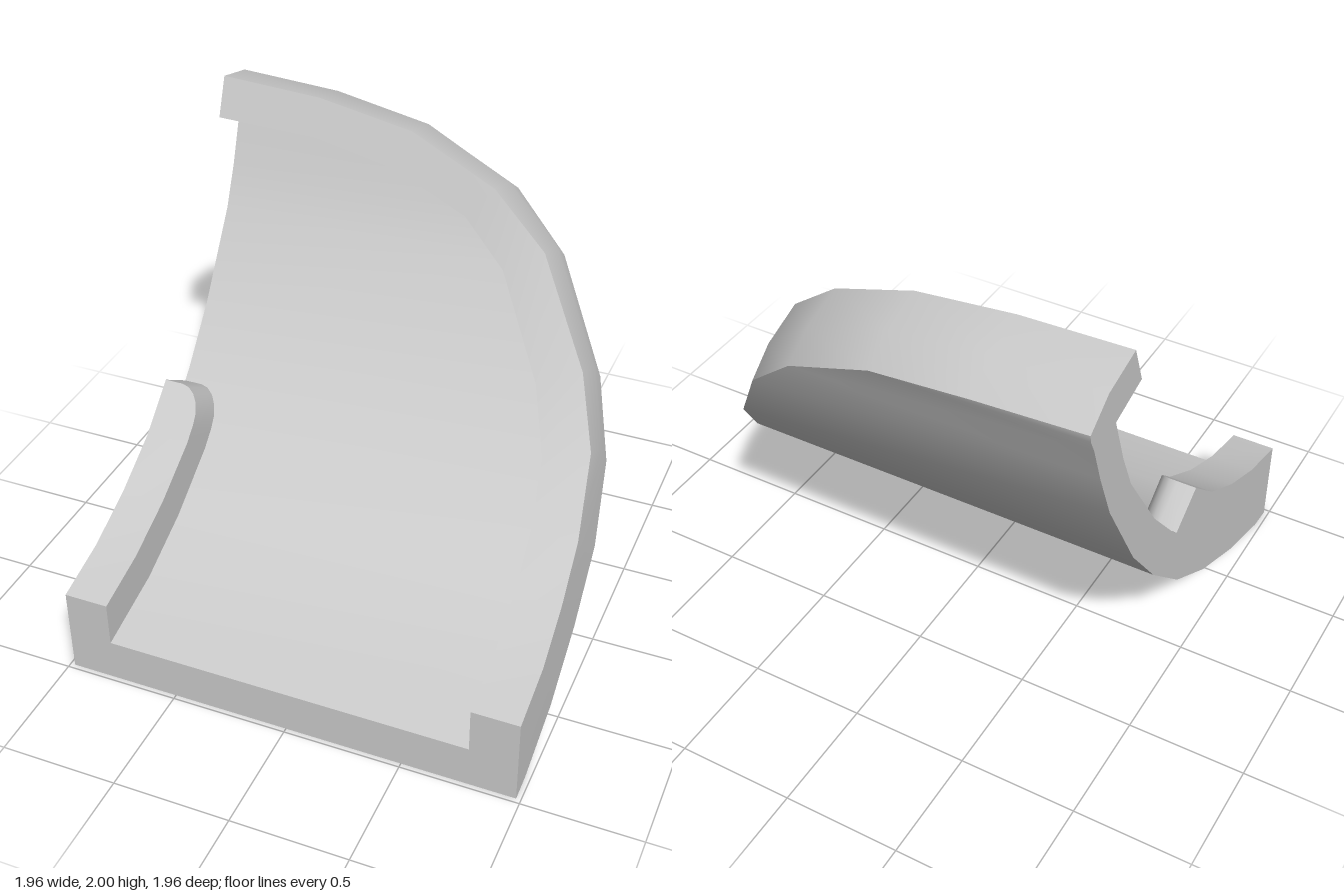
import * as THREE from 'three';
import { toCreasedNormals } from 'three/addons/utils/BufferGeometryUtils.js';

const LEFT = -0.98, FRONT = 0.98;

// Side profile of the raised surface: [y, z, drop to the floor surface]
const PROFILE = [
  [2, -0.66, 0.05], [1.835, -0.593, 0.055], [1.51, -0.47, 0.073], [1.12, -0.2, 0.085],
  [0.935, -0.04, 0.1], [0.7, 0.23, 0.13], [0.56, 0.47, 0.16], [0.455, 0.72, 0.18], [0.39, FRONT, 0.2],
];

function lookup(y, column) {
  let i = 0;
  while (i < PROFILE.length - 2 && PROFILE[i + 1][0] > y) i++;
  const [a, b] = [PROFILE[i], PROFILE[i + 1]];
  return THREE.MathUtils.mapLinear(y, a[0], b[0], a[column], b[column]);
}

// Point on the raised surface, and the point 0.2 below it along the normal
const raised = ([x, y]) => new THREE.Vector3(x, y, lookup(y, 1));
function sunk([x, y], depth = 0.2) {
  const k = depth / 0.2, dy = lookup(y, 2);
  const dz = Math.sqrt(Math.max(0, 0.04 - dy * dy));
  return new THREE.Vector3(x, y - dy * k, lookup(y, 1) - dz * k);
}
const toLeft = (p) => new THREE.Vector3(LEFT, p.y, p.z);
const frontPoint = (x, y) => new THREE.Vector3(x, y, FRONT);

// Joins pairs of rows with quads into one mesh with sharp edges kept
function meshFromStrips(name, strips) {
  const points = [];
  const face = (a, b, c) => {
    const area = b.clone().sub(a).cross(c.clone().sub(a)).length();
    if (area > 1e-7) points.push(a, b, c);
  };
  for (const [a, b] of strips) {
    for (let i = 0; i < a.length - 1; i++) {
      face(a[i], b[i], b[i + 1]);
      face(a[i], b[i + 1], a[i + 1]);
    }
  }
  const geometry = new THREE.BufferGeometry().setFromPoints(points);
  const material = new THREE.MeshStandardMaterial({ color: 0xcccccc });
  const mesh = new THREE.Mesh(toCreasedNormals(geometry, 0.55), material);
  mesh.name = name;
  return mesh;
}

// Curved shell with a raised rim
function createShell() {
  // Rim outline stations, from the top of the back to the front: [x, y]
  const outer = [
    [LEFT, 2], [-0.53, 1.98], [-0.1, 1.915], [0.29, 1.755], [0.54, 1.55], [0.8, 1.18],
    [0.91, 0.94], [0.955, 0.7], [0.97, 0.56], [0.98, 0.455], [0.98, 0.39], [0.98, 0.39],
  ];
  const inner = [
    [LEFT, 1.835], [-0.53, 1.825], [-0.15, 1.76], [0.18, 1.63], [0.38, 1.46], [0.62, 1.11],
    [0.72, 0.9], [0.76, 0.7], [0.775, 0.56], [0.78, 0.455], [0.78, 0.39], [0.78, 0.39],
  ];
  // Underside at the same stations: [y, z]
  const under = [
    [1.86, -0.98], [1.83, -0.975], [1.77, -0.945], [1.605, -0.885], [1.38, -0.79], [0.97, -0.55],
    [0.7, -0.335], [0.45, -0.07], [0.26, 0.23], [0.11, 0.56], [0.01, 0.87], [0, FRONT],
  ];
  const rimOut = outer.map(raised), rimIn = inner.map(raised);
  const wallMid = outer.map((p) => sunk(p)), floorEdge = inner.map((p) => sunk(p));
  const bottom = under.map(([y, z], i) => new THREE.Vector3(outer[i][0], y, z));
  const floorLeft = floorEdge.map(toLeft), bottomLeft = bottom.map(toLeft);
  return meshFromStrips('curvedShell', [
    [rimOut, rimIn],            // rim top
    [wallMid, rimOut],          // outer wall
    [bottom, wallMid],
    [rimIn, floorEdge],         // inner wall
    [floorEdge, floorLeft],     // floor
    [bottomLeft, bottom],       // underside
    [floorLeft, bottomLeft],    // flat left side
    [[rimOut[0], rimIn[0]], [wallMid[0], floorEdge[0]]],
    [[wallMid[0], floorEdge[0]], [bottom[0], bottom[0]]],
    // flat front end
    [[frontPoint(LEFT, 0), frontPoint(LEFT, 0.19)], [frontPoint(0.78, 0), frontPoint(0.78, 0.19)]],
    [[frontPoint(0.78, 0), frontPoint(0.78, 0.39)], [frontPoint(0.98, 0), frontPoint(0.98, 0.39)]],
  ]);
}

// Short rib with a rounded end on the left side of the floor
function createRib() {
  const edge = [[LEFT, 0.865], [-0.9, 0.865]];
  for (let i = 1; i <= 5; i++) {
    const a = (i / 5) * Math.PI / 2;
    edge.push([-0.9 + 0.11 * Math.sin(a), 0.755 + 0.11 * Math.cos(a)]);
  }
  edge.push([-0.79, 0.7], [-0.79, 0.56], [-0.79, 0.455], [-0.79, 0.39]);
  const top = edge.map(raised), base = edge.map((p) => sunk(p, 0.215));
  const topLeft = top.map(toLeft), baseLeft = base.map(toLeft);
  return meshFromStrips('floorRib', [
    [top, topLeft],
    [base, top],
    [topLeft, baseLeft],
    [[frontPoint(LEFT, 0.18), frontPoint(LEFT, 0.39)], [frontPoint(-0.79, 0.18), frontPoint(-0.79, 0.39)]],
  ]);
}

export function createModel() {
  const model = new THREE.Group();
  model.name = 'curvedRimmedPanel';
  model.add(createShell(), createRib());
  return model;
}
